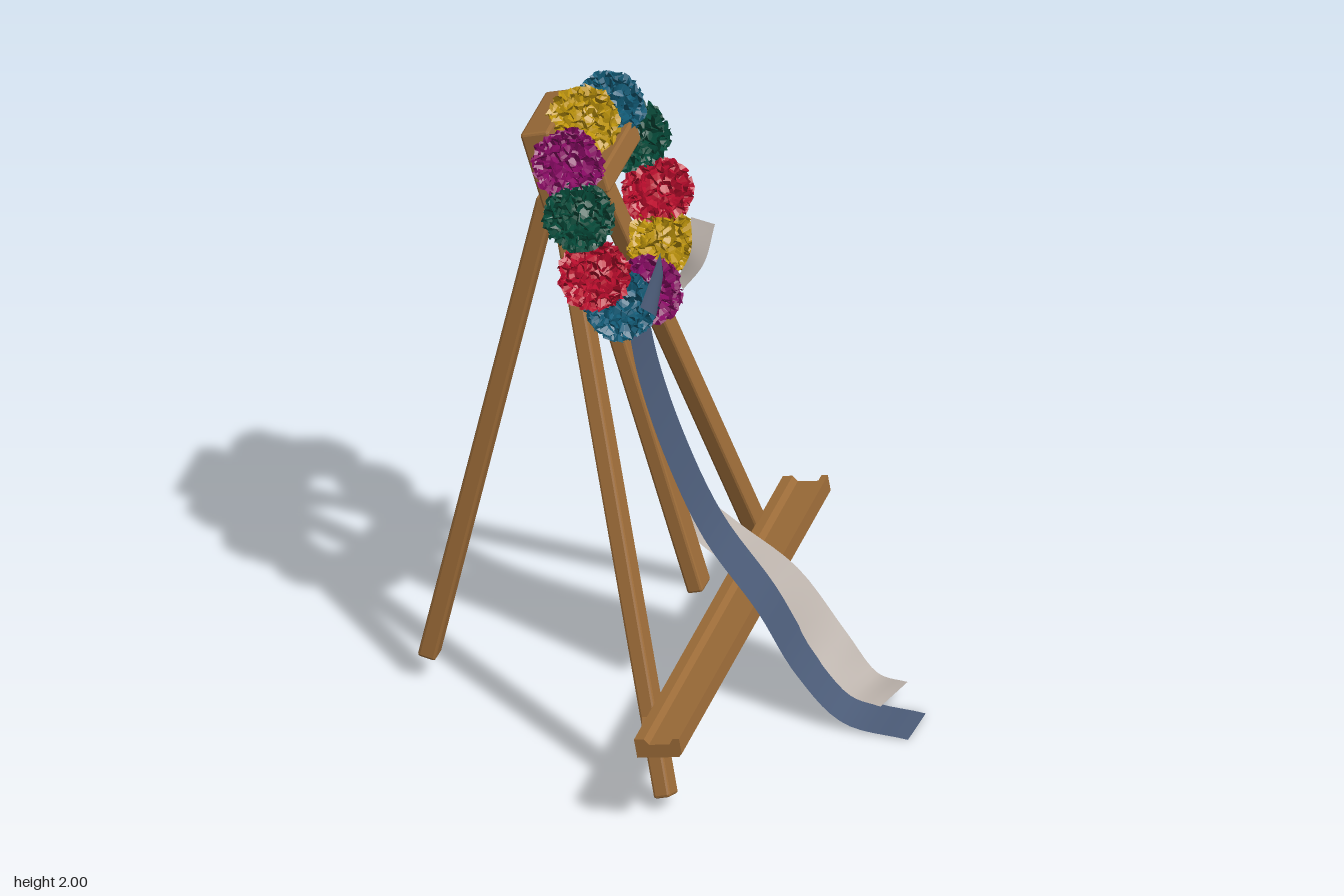
import * as THREE from 'three';
import { mergeGeometries } from 'three/addons/utils/BufferGeometryUtils.js';
import { RoundedBoxGeometry } from 'three/addons/geometries/RoundedBoxGeometry.js';

const V = (x, y, z) => new THREE.Vector3(x, y, z);
const FACING = 1.83; // heading of the easel about y
const LEAN = -0.29; // backward lean of the easel
const LATERAL = V(0.254, 0, 0.967);

function material(name, color, extra = {}) {
  const m = new THREE.MeshStandardMaterial({ color, ...extra });
  m.name = name;
  return m;
}

function seeded(seed) {
  let s = seed;
  return () => (s = (s * 16807) % 2147483647) / 2147483647;
}

export function createModel() {
  const model = new THREE.Group();
  model.name = 'wreathOnEasel';

  const flower = { side: THREE.DoubleSide, flatShading: true };
  const cloth = { side: THREE.DoubleSide };
  const wood = material('wood', 0x9e6d39, { flatShading: true });
  const yellow = material('yellow', 0xc0960c, flower);
  const teal = material('teal', 0x125c78, flower);
  const green = material('green', 0x054a39, flower);
  const red = material('red', 0xb80c2c, flower);
  const magenta = material('magenta', 0x880a64, flower);
  const blue = material('ribbonBlue', 0x4b5b77, cloth);
  const cream = material('ribbonCream', 0xb7aea7, cloth);
  const silver = material('wire', 0xb4b4b4);

  const add = (parent, name, geometry, mat, position) => {
    const mesh = new THREE.Mesh(geometry, mat);
    mesh.name = name;
    if (position) mesh.position.copy(position);
    parent.add(mesh);
    return mesh;
  };
  const bar = (w, h, d) => new RoundedBoxGeometry(w, h, d, 1, 0.008);

  // Beam running between two points, its width kept along the easel
  const beam = (name, a, b, w, d) => {
    const y = b.clone().sub(a).normalize();
    const z = LATERAL.clone().cross(y).normalize();
    const x = y.clone().cross(z);
    const mesh = add(model, name, bar(w, a.distanceTo(b), d), wood, a.clone().lerp(b, 0.5));
    mesh.quaternion.setFromRotationMatrix(new THREE.Matrix4().makeBasis(x, y, z));
  };

  // Legs and central post
  beam('rearLeg', V(-0.68, 0.08, 0.298), V(-0.37, 1.63, 0.14), 0.072, 0.055);
  beam('frontLegLeft', V(0.312, 0.045, 0.605), V(-0.288, 1.66, 0.195), 0.075, 0.052);
  beam('frontLegRight', V(-0.025, 0.045, -0.615), V(-0.262, 1.66, 0.03), 0.075, 0.052);
  beam('centralPost', V(0.08, 0.4, 0.035), V(-0.31, 1.75, 0.13), 0.085, 0.05);

  // Head: block, tabs with bolts, front ledge and rear hinge
  const head = new THREE.Group();
  head.name = 'easelHead';
  head.position.set(-0.345, 1.785, 0.125);
  head.rotation.set(LEAN, FACING, 0, 'YXZ');
  model.add(head);
  add(head, 'headBlock', bar(0.27, 0.25, 0.09), wood);
  add(head, 'frontLedge', bar(0.33, 0.075, 0.15), wood, V(0.01, -0.05, 0.11));
  add(head, 'ledgeSupport', bar(0.26, 0.05, 0.07), wood, V(0.01, -0.105, 0.07));
  for (const x of [-0.09, 0.09]) {
    add(head, 'headTab', bar(0.06, 0.2, 0.09), wood, V(x, -0.18, 0.005));
    const bolt = add(head, 'tabBolt', new THREE.CylinderGeometry(0.022, 0.022, 0.03, 8), wood, V(x, -0.18, 0.06));
    bolt.rotation.x = Math.PI / 2;
  }
  const knob = add(head, 'rearKnob', new THREE.CylinderGeometry(0.022, 0.022, 0.06, 8), wood, V(0, -0.015, -0.06));
  knob.rotation.x = Math.PI / 2;
  const hinge = add(head, 'rearHinge', new THREE.CylinderGeometry(0.042, 0.042, 0.1, 8), wood, V(0, -0.16, -0.06));
  hinge.rotation.z = Math.PI / 2;

  // Grooved tray
  const profile = new THREE.Shape([
    [-0.068, -0.03], [0.06, -0.03], [0.07, -0.02], [0.07, 0.03], [0.05, 0.03],
    [0.038, 0.012], [-0.025, 0.012], [-0.038, 0.03], [-0.068, 0.03],
  ].map(([x, y]) => new THREE.Vector2(x, y)));
  const trayGeometry = new THREE.ExtrudeGeometry(profile, { depth: 1.61, bevelEnabled: false });
  trayGeometry.translate(0, 0, -0.805).rotateY(-Math.PI / 2);
  const tray = add(model, 'tray', trayGeometry, wood, V(0.171, 0.31, 0));
  tray.rotation.set(-0.17, FACING + 0.012, 0, 'YXZ');

  // Pegs that carry the tray
  for (const p of [V(0.27, 0.262, 0.56), V(-0.015, 0.262, -0.56)]) {
    const peg = add(model, 'trayPeg', new THREE.CylinderGeometry(0.024, 0.032, 0.1, 10), wood, p);
    peg.rotation.set(Math.PI / 2 + LEAN, FACING, 0, 'YXZ');
  }

  // Ruffled blossom: bumpy core covered with crimped petal cups
  const blossom = (seed) => {
    const rnd = seeded(seed);
    const core = new THREE.IcosahedronGeometry(0.084, 3);
    const pieces = [core];
    const up = V(0, 1, 0);
    const count = 75;
    for (let i = 0; i < count; i++) {
      const y = 1 - (2 * (i + 0.5)) / count;
      const a = i * 2.39996 + rnd() * 0.3;
      const r = Math.sqrt(1 - y * y);
      const dir = V(r * Math.cos(a), y, r * Math.sin(a));
      const cup = new THREE.CylinderGeometry(0.027, 0.008, 0.03, 11, 1, true);
      const pos = cup.attributes.position;
      for (let k = 0; k < 11; k++) {
        const s = 0.6 + rnd() * 0.7;
        pos.setXYZ(k, pos.getX(k) * s, 0.012 + (rnd() - 0.5) * 0.016, pos.getZ(k) * s);
      }
      // The seam vertex repeats the first one
      pos.setXYZ(11, pos.getX(0), pos.getY(0), pos.getZ(0));
      cup.applyQuaternion(new THREE.Quaternion().setFromUnitVectors(up, dir));
      const reach = 0.081 + rnd() * 0.011;
      cup.translate(dir.x * reach, dir.y * reach, dir.z * reach);
      pieces.push(cup.toNonIndexed());
    }
    return mergeGeometries(pieces);
  };

  // Wreath of ten blossoms threaded on a wire ring
  const wreath = new THREE.Group();
  wreath.name = 'wreath';
  model.add(wreath);
  const blossoms = [
    [yellow, -0.265, 1.895, 0.115], [teal, -0.295, 1.845, -0.075],
    [green, -0.265, 1.71, -0.165], [red, -0.18, 1.55, -0.16],
    [yellow, -0.13, 1.425, -0.1], [magenta, -0.09, 1.35, 0.05],
    [teal, -0.06, 1.4, 0.24], [red, -0.09, 1.545, 0.345],
    [green, -0.14, 1.73, 0.35], [magenta, -0.22, 1.845, 0.28],
  ];
  const centres = blossoms.map(([mat, x, y, z], i) => {
    add(wreath, mat.name + 'Blossom', blossom(101 + i * 977), mat, V(x, y, z));
    return V(x, y, z);
  });
  const ring = new THREE.CatmullRomCurve3(centres, true);
  add(wreath, 'wireRing', new THREE.TubeGeometry(ring, 60, 0.008, 6, true), silver);

  // Ribbon stretched between two edge curves
  const ribbon = (name, mat, left, right) => {
    const edges = [left, right].map((pts) => new THREE.CatmullRomCurve3(pts.map((p) => V(...p))));
    const geometry = new THREE.PlaneGeometry(1, 1, 4, 40);
    const pos = geometry.attributes.position;
    for (let i = 0; i < pos.count; i++) {
      const t = 0.5 - pos.getY(i);
      const p = edges[0].getPoint(t).lerp(edges[1].getPoint(t), pos.getX(i) + 0.5);
      pos.setXYZ(i, p.x, p.y, p.z);
    }
    geometry.computeVertexNormals();
    add(model, name, geometry, mat);
  };

  // Blue tail: both edges follow one path, offset sideways
  const path = [
    [-0.1, 1.34, 0.1], [-0.065, 1.12, 0.085], [0.0, 0.85, 0.04], [0.1, 0.58, -0.015],
    [0.25, 0.365, -0.06], [0.36, 0.17, -0.095], [0.5, 0.035, -0.125], [0.69, 0.006, -0.18],
  ];
  const side = (s) => path.map(([x, y, z]) => [x + 0.018 * s, y, z + 0.08 * s]);
  ribbon('blueRibbonTail', blue, side(1), side(-1));

  // Cream tail twists as it drops, then follows the blue one
  ribbon('creamRibbonTail', cream,
    [[-0.14, 1.36, -0.03], [-0.11, 1.0, -0.02], [-0.075, 0.8, -0.03], [-0.065, 0.58, -0.06], [0.01, 0.45, -0.1],
      [0.21, 0.35, -0.13], [0.36, 0.15, -0.16], [0.47, 0.05, -0.17], [0.56, 0.03, -0.19]],
    [[-0.19, 1.36, -0.11], [-0.21, 1.05, -0.14], [-0.18, 0.8, -0.16], [-0.08, 0.56, -0.22], [0.03, 0.46, -0.26],
      [0.22, 0.35, -0.285], [0.38, 0.17, -0.3], [0.48, 0.06, -0.31], [0.58, 0.06, -0.31]]);

  // Flared bow ends on either side of the knot
  ribbon('blueBowEnd', blue,
    [[-0.02, 1.36, 0.14], [0.025, 1.47, 0.15], [0.02, 1.56, 0.155]],
    [[-0.01, 1.33, 0.17], [0.05, 1.39, 0.23], [0.045, 1.46, 0.31]]);
  ribbon('creamBowEnd', cream,
    [[-0.03, 1.37, -0.02], [0.0, 1.46, -0.05], [-0.03, 1.54, -0.1]],
    [[-0.02, 1.33, -0.04], [0.0, 1.38, -0.12], [-0.03, 1.45, -0.235]]);

  return model;
}
